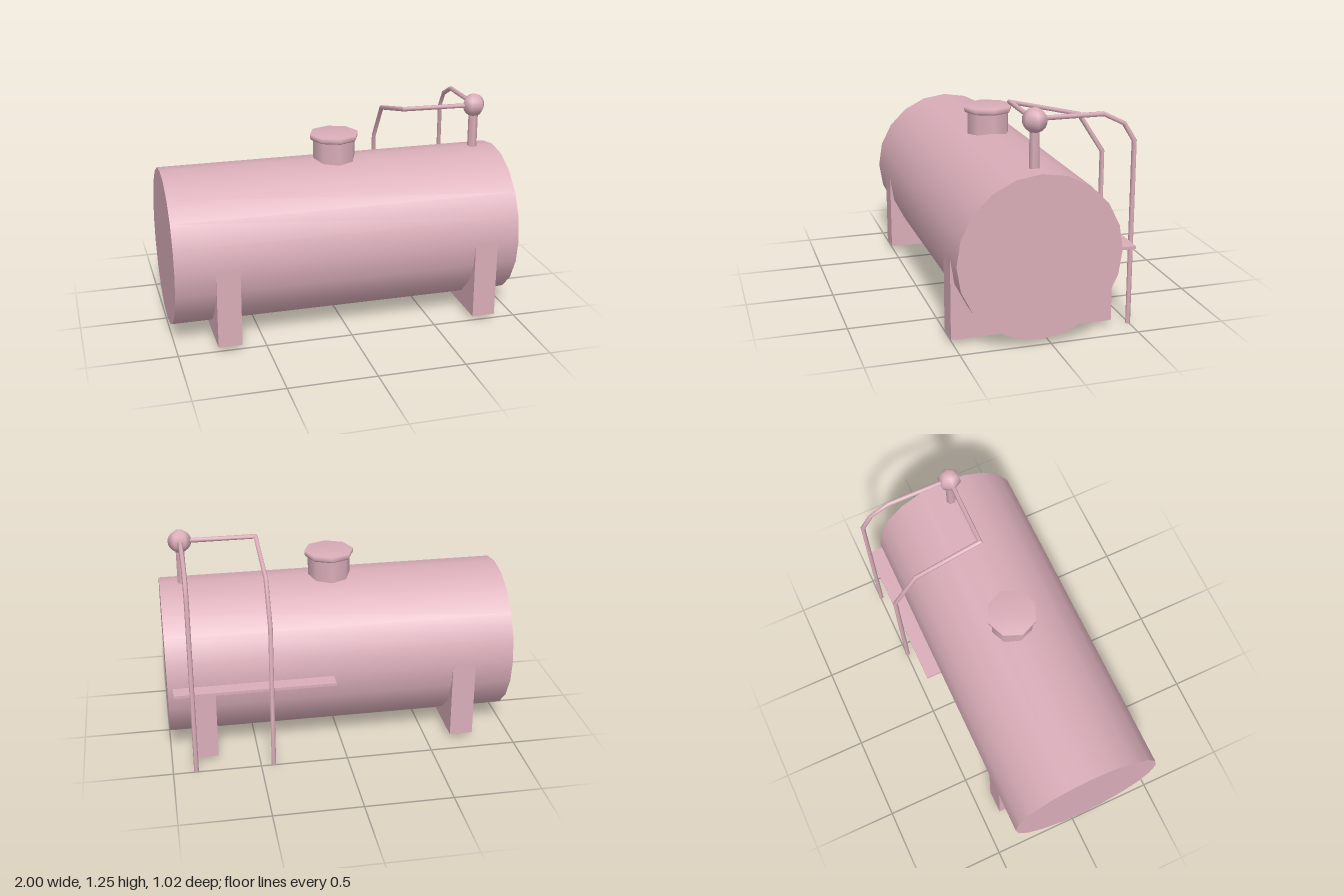
import * as THREE from 'three';
import { toCreasedNormals } from 'three/addons/utils/BufferGeometryUtils.js';

const material = new THREE.MeshStandardMaterial({ color: 0xd9adb8 });
const openMaterial = new THREE.MeshStandardMaterial({ color: 0xd9adb8, side: THREE.DoubleSide });

const AXIS_Y = 0.485; // tank axis
const AXIS_Z = 0.06;
const RADIUS = 0.453;

function addMesh(parent, name, geometry, position = [0, 0, 0], mat = material) {
  const mesh = new THREE.Mesh(geometry, mat);
  mesh.name = name;
  mesh.position.set(...position);
  parent.add(mesh);
  return mesh;
}

// Straight pipe run with mitred bends and closed ends
function pipeGeometry(coords, radius, sides = 6) {
  const pts = coords.map((c) => new THREE.Vector3(...c));
  const dirs = pts.slice(1).map((p, i) => p.clone().sub(pts[i]).normalize());
  const helper = Math.abs(dirs[0].y) > 0.9 ? new THREE.Vector3(1, 0, 0) : new THREE.Vector3(0, 1, 0);
  const u = new THREE.Vector3().crossVectors(helper, dirs[0]).normalize();
  const v = new THREE.Vector3().crossVectors(dirs[0], u);
  let ring = [];
  for (let j = 0; j < sides; j++) {
    const a = (j / sides) * Math.PI * 2;
    ring.push(pts[0].clone().addScaledVector(u, radius * Math.cos(a)).addScaledVector(v, radius * Math.sin(a)));
  }
  const positions = [];
  const index = [];
  const push = (p) => positions.push(p.x, p.y, p.z);
  ring.forEach(push);
  for (let i = 1; i < pts.length; i++) {
    const d = dirs[i - 1];
    const n = d.clone().add(dirs[i] || d); // mitre plane normal
    ring = ring.map((p) => p.clone().addScaledVector(d, pts[i].clone().sub(p).dot(n) / d.dot(n)));
    ring.forEach(push);
    for (let j = 0; j < sides; j++) {
      const k = (j + 1) % sides;
      const a = (i - 1) * sides;
      const b = i * sides;
      index.push(a + j, a + k, b + k, a + j, b + k, b + j);
    }
  }
  const last = (pts.length - 1) * sides;
  for (let j = 1; j < sides - 1; j++) {
    index.push(0, j + 1, j, last, last + j, last + j + 1);
  }
  const geometry = new THREE.BufferGeometry();
  geometry.setAttribute('position', new THREE.Float32BufferAttribute(positions, 3));
  geometry.setIndex(index);
  return toCreasedNormals(geometry, 1.2);
}

export function createModel() {
  const model = new THREE.Group();
  model.name = 'storageTank';

  // Horizontal tank with flat ends
  const tank = new THREE.CylinderGeometry(RADIUS, RADIUS, 2, 20).rotateZ(Math.PI / 2);
  addMesh(model, 'tank', tank, [0, AXIS_Y, AXIS_Z]);

  // Two hollow saddles, open underneath
  const [yLow, yHigh, width] = [0.03, AXIS_Y, 0.135];
  for (const [name, x] of [['rightSaddle', -0.708], ['leftSaddle', 0.802]]) {
    const saddle = new THREE.Group();
    saddle.name = name;
    const y = (yLow + yHigh) / 2;
    const h = yHigh - yLow;
    for (const s of [-1, 1]) {
      addMesh(saddle, 'saddleSide', new THREE.PlaneGeometry(2 * RADIUS, h).rotateY((s * Math.PI) / 2),
        [x + (s * width) / 2, y, AXIS_Z], openMaterial);
      addMesh(saddle, 'saddleEnd', new THREE.PlaneGeometry(width, h).rotateY(s > 0 ? 0 : Math.PI),
        [x, y, AXIS_Z + s * RADIUS], openMaterial);
    }
    model.add(saddle);
  }

  // Filler neck and its wider lid
  addMesh(model, 'hatchNeck', new THREE.CylinderGeometry(0.124, 0.124, 0.22, 8), [0.013, 0.95, 0.055]);
  const lid = new THREE.LatheGeometry(
    [[0, 0], [0.136, 0], [0.143, 0.01], [0.143, 0.035], [0, 0.035]].map((p) => new THREE.Vector2(...p)), 8);
  addMesh(model, 'hatchLid', lid, [0.013, 1.048, 0.055]);

  // Riser with ball joint
  addMesh(model, 'riser', new THREE.CylinderGeometry(0.028, 0.028, 0.32, 6), [0.87, 1.0, AXIS_Z]);
  addMesh(model, 'ballJoint', new THREE.SphereGeometry(0.067, 6, 12), [0.87, 1.187, AXIS_Z]);

  // Pipes running over the back to the ground
  addMesh(model, 'endPipe', pipeGeometry([
    [0.87, 1.195, 0.05], [0.87, 1.195, -0.318], [0.87, 1.137, -0.434],
    [0.87, 1.04, -0.494], [0.87, 0, -0.494],
  ], 0.0135));
  addMesh(model, 'middlePipe', pipeGeometry([
    [0.85, 1.187, AXIS_Z], [0.438, 1.19, 0.055], [0.43, 1.095, -0.35],
    [0.428, 0.87, -0.496], [0.428, 0, -0.494],
  ], 0.0135));

  // Narrow walkway along the back
  addMesh(model, 'walkway', new THREE.BoxGeometry(0.91, 0.016, 0.105), [0.515, 0.478, -0.4285]);

  return model;
}
